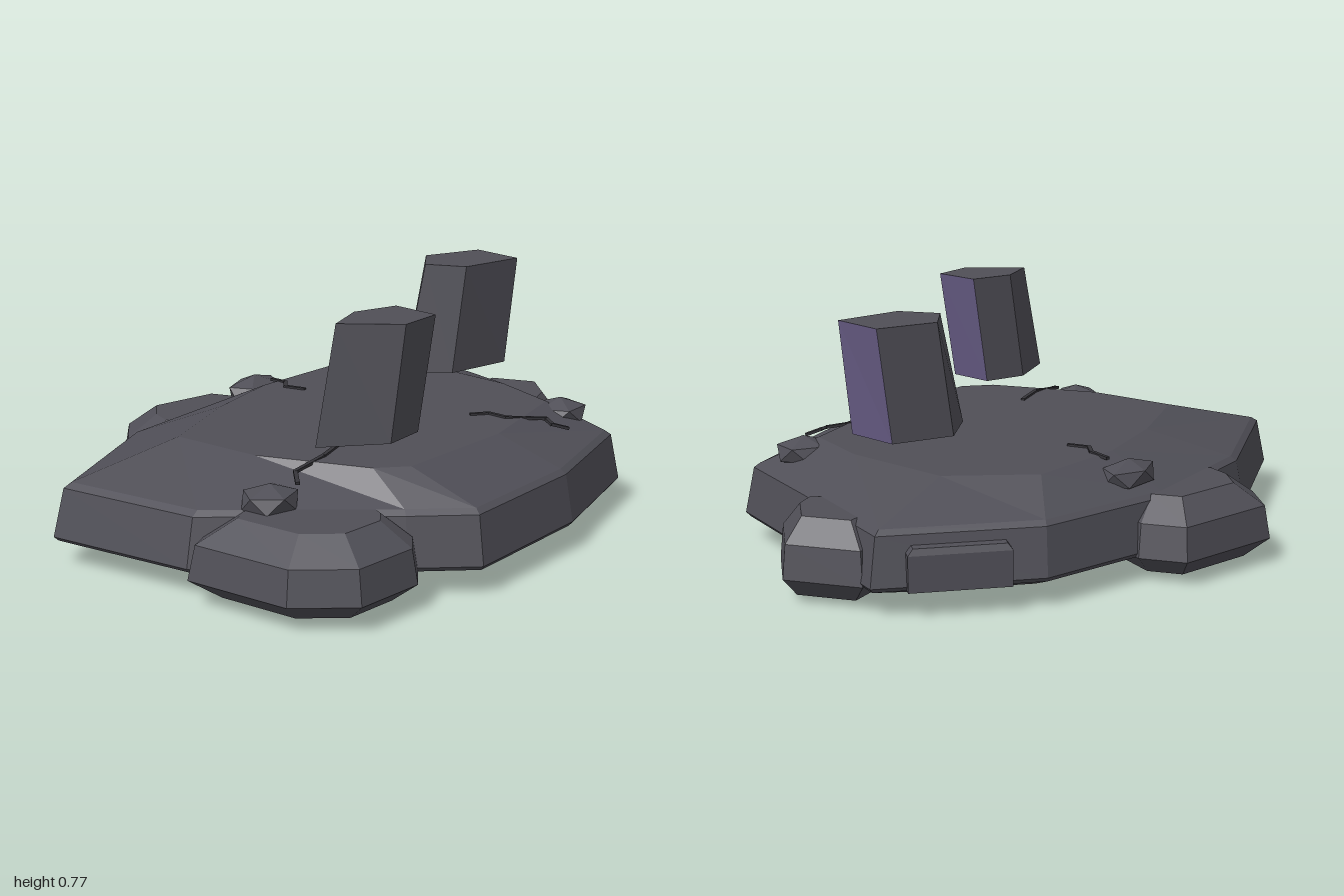
import * as THREE from 'three';

const stone = new THREE.MeshStandardMaterial({ color: 0x504f57 });
const purple = new THREE.MeshStandardMaterial({ color: 0x655a82 });
const crackDark = new THREE.MeshStandardMaterial({ color: 0x353439 });
stone.name = 'stone';
purple.name = 'purple';
crackDark.name = 'crackDark';
for (const m of [stone, purple, crackDark]) m.flatShading = true;

// Faceted solid through horizontal rings, listed from bottom to top.
// Side number `painted` goes to the second material.
function loft(rings, painted = -1) {
  const pos = [];
  const n = rings[0].length;
  const geo = new THREE.BufferGeometry();
  const put = (...pts) => pts.forEach((p) => pos.push(...p));
  const centre = (ring) => [0, 1, 2].map((k) => ring.reduce((s, p) => s + p[k], 0) / n);
  for (let i = 0; i < n; i++) {
    const j = (i + 1) % n;
    const start = pos.length / 3;
    for (let r = 0; r < rings.length - 1; r++) {
      const a = rings[r], b = rings[r + 1];
      put(a[i], b[i], b[j], a[i], b[j], a[j]);
    }
    geo.addGroup(start, pos.length / 3 - start, i === painted ? 1 : 0);
  }
  const start = pos.length / 3;
  const low = rings[0], high = rings[rings.length - 1];
  for (let i = 0; i < n; i++) {
    const j = (i + 1) % n;
    put(centre(low), low[i], low[j], centre(high), high[j], high[i]);
  }
  geo.addGroup(start, pos.length / 3 - start, 0);
  geo.setAttribute('position', new THREE.Float32BufferAttribute(pos, 3));
  geo.computeVertexNormals();
  return geo;
}

// Lift an [x, z] outline to height y
const at = (outline, y) => outline.map(([x, z]) => [x, y, z]);

// Shrink an [x, z] outline towards a centre
const shrink = (outline, s, [cx, cz]) =>
  outline.map(([x, z]) => [cx + (x - cx) * s, cz + (z - cz) * s]);

function add(group, name, geometry, material) {
  const mesh = new THREE.Mesh(geometry, material);
  mesh.name = name;
  group.add(mesh);
  return mesh;
}

export function createModel() {
  const model = new THREE.Group();
  model.name = 'rockPlatform';

  // Main slab: chamfered underside, steep rim, sloping shoulder, flat top
  const rim = [[-0.96, -0.385], [-0.41, -0.59], [0.11, -0.61], [0.59, -0.475], [0.96, -0.11],
    [0.72, 0.36], [0.55, 0.71], [0.07, 0.81], [-0.43, 0.8], [-0.57, 0.63], [-0.945, 0.12]];
  const plateau = [[-0.58, -0.21], [-0.24, -0.32], [0.06, -0.37], [0.42, -0.34], [0.6, -0.1],
    [0.54, 0.27], [0.43, 0.5], [0.02, 0.57], [-0.42, 0.54], [-0.5, 0.46], [-0.6, 0.1]];
  const mid = [0, 0.06];
  add(model, 'slab', loft([
    at(shrink(rim, 0.71, mid), 0),
    at(shrink(rim, 0.985, mid), 0.078),
    at(rim, 0.092),
    at(shrink(rim, 0.965, mid), 0.24),
    at(shrink(rim, 0.94, mid), 0.255),
    at(plateau, 0.345),
  ]), stone);

  // Boulders set into the rim
  const boulders = [
    ['backBoulder', [-0.02, -0.54], [[-0.35, -0.58], [-0.29, -0.7], [-0.155, -0.815],
      [0.21, -0.725], [0.25, -0.58], [0.15, -0.4], [-0.2, -0.4]]],
    ['rightFrontBoulder', [-0.7, 0.41], [[-0.99, 0.16], [-0.82, 0.1], [-0.5, 0.2], [-0.45, 0.5],
      [-0.545, 0.65], [-0.635, 0.71], [-0.875, 0.685], [-1, 0.52]]],
    ['leftBoulder', [0.78, 0.16], [[0.68, -0.03], [0.93, -0.06], [1, 0.18],
      [0.83, 0.33], [0.72, 0.36], [0.6, 0.2]]],
  ];
  for (const [name, c, outline] of boulders) {
    add(model, name, loft([
      at(shrink(outline, 0.74, c), 0.02),
      at(outline, 0.08),
      at(shrink(outline, 0.94, c), 0.185),
      at(shrink(outline, 0.62, c), 0.255),
    ]), stone);
  }

  // Shallow chip on the back left rim
  const chip = [[0.68, -0.415], [0.9, -0.2], [0.8, -0.1], [0.58, -0.32]];
  add(model, 'rimChip', loft([at(chip, 0.08), at(chip, 0.19),
    at(shrink(chip, 0.9, [0.73, -0.26]), 0.21)]), stone);

  // Small stones lying on the shoulder
  const pebbles = [
    [0.13, 0.3, -0.47, 0.125, 0.05, 0.075, 0.2],
    [-0.74, 0.275, 0.265, 0.1, 0.05, 0.09, 0.6],
    [0.47, 0.305, 0.53, 0.1, 0.05, 0.09, 0.3],
  ];
  for (const [x, y, z, sx, sy, sz, turn] of pebbles) {
    const geo = new THREE.IcosahedronGeometry(1, 0);
    geo.rotateZ(-Math.atan(2 / (1 + Math.sqrt(5))));
    geo.rotateY(turn);
    geo.scale(sx, sy, sz);
    add(model, 'pebble', geo, stone).position.set(x, y, z);
  }

  // Thin cracks following the surface
  const cracks = [
    [[0.145, 0.347, 0.39], [0.19, 0.347, 0.43], [0.18, 0.347, 0.5],
      [0.28, 0.335, 0.585], [0.27, 0.323, 0.615], [0.31, 0.307, 0.65]],
    [[0.14, 0.342, -0.4], [0.12, 0.347, -0.33], [0.075, 0.347, -0.295], [0.085, 0.347, -0.225]],
    [[-0.36, 0.347, 0.24], [-0.49, 0.347, 0.275], [-0.63, 0.334, 0.275], [-0.68, 0.32, 0.32]],
  ];
  for (const path of cracks) {
    const crack = new THREE.Group();
    crack.name = 'crack';
    for (let i = 0; i < path.length - 1; i++) {
      const a = new THREE.Vector3(...path[i]);
      const b = new THREE.Vector3(...path[i + 1]);
      const geo = new THREE.BoxGeometry(0.013, 0.009, a.distanceTo(b) + 0.006);
      const piece = add(crack, 'crackPiece', geo, crackDark);
      piece.position.copy(a).lerp(b, 0.5);
      piece.lookAt(b);
    }
    model.add(crack);
  }

  // Leaning five-sided pillars floating above the slab, one side purple
  const pillars = [
    ['rightPillar',
      [[-0.62, 0.34], [-0.42, 0.28], [-0.28, 0.335], [-0.31, 0.49], [-0.46, 0.495]],
      [[-0.54, 0.355], [-0.385, 0.31], [-0.245, 0.365], [-0.275, 0.525], [-0.43, 0.525]]],
    ['leftPillar',
      [[0.24, 0.07], [0.41, -0.015], [0.595, 0.08], [0.56, 0.26], [0.33, 0.2]],
      [[0.315, 0.1], [0.44, 0.02], [0.625, 0.11], [0.58, 0.29], [0.36, 0.23]]],
  ];
  for (const [name, low, high] of pillars) {
    add(model, name, loft([at(low, 0.415), at(high, 0.77)], 2), [stone, purple]);
  }

  return model;
}
